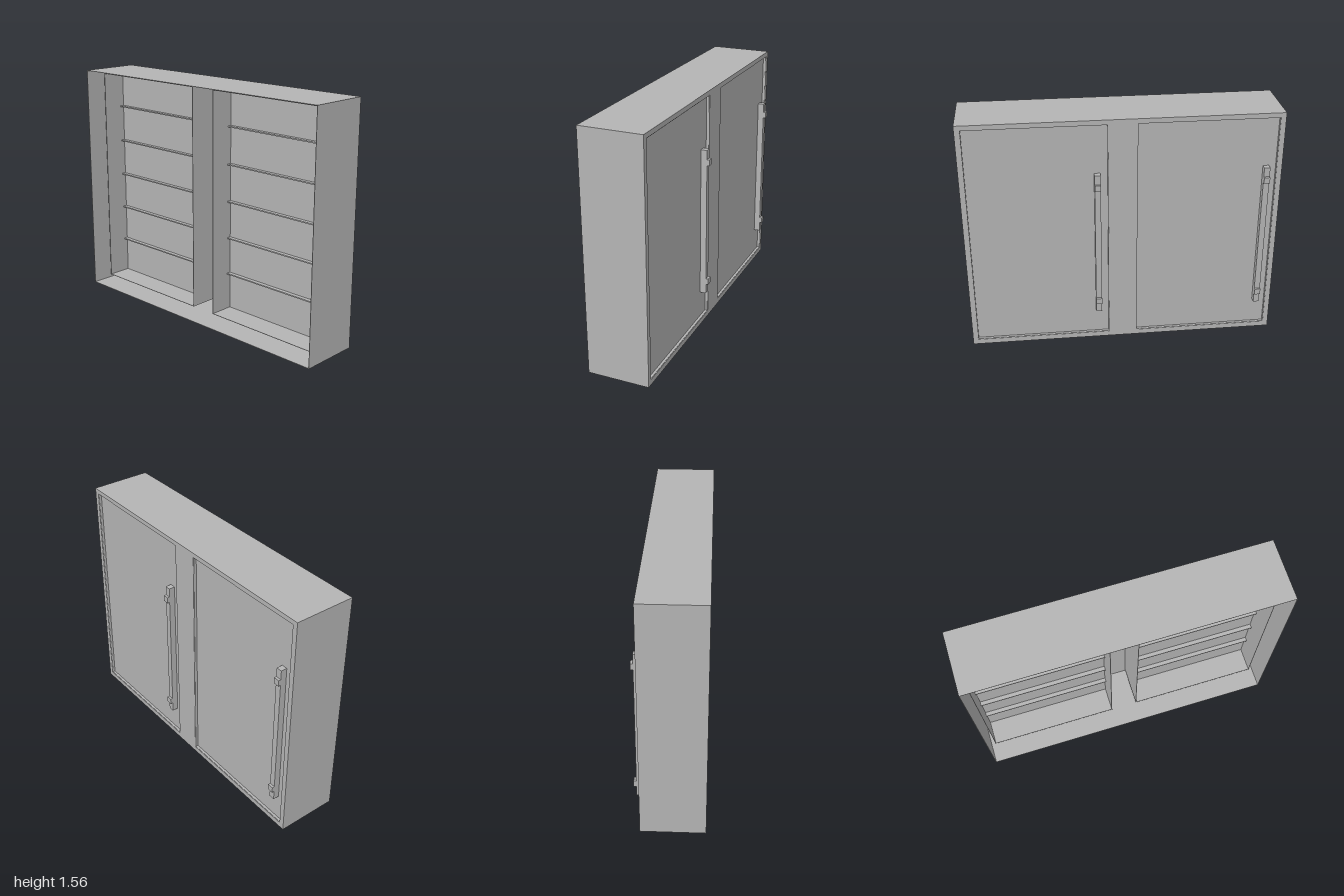
import * as THREE from 'three';

export function createModel() {
  const model = new THREE.Group();
  model.name = 'twoDoorCabinet';
  const grey = new THREE.MeshStandardMaterial({ color: 0xb4b4b4, side: THREE.DoubleSide });
  grey.name = 'plain grey';

  // Box given by its limits on each axis
  const box = (parent, name, [x0, x1], [y0, y1], [z0, z1]) => {
    const mesh = new THREE.Mesh(new THREE.BoxGeometry(x1 - x0, y1 - y0, z1 - z0), grey);
    mesh.position.set((x0 + x1) / 2, (y0 + y1) / 2, (z0 + z1) / 2);
    mesh.name = name;
    parent.add(mesh);
  };

  // Four thin sheets forming a sleeve open at both x ends
  const sleeve = (parent, name, x, [y0, y1], [z0, z1]) => {
    const t = 0.003;
    box(parent, name + 'Bottom', x, [y0, y0 + t], [z0, z1]);
    box(parent, name + 'Top', x, [y1 - t, y1], [z0, z1]);
    box(parent, name + 'RightWall', x, [y0 + t, y1 - t], [z0, z0 + t]);
    box(parent, name + 'LeftWall', x, [y0 + t, y1 - t], [z1 - t, z1]);
  };

  const height = 1.56, bottom = 0.035, top = 1.53;
  const bays = [
    { z: [0.09, 0.967], handle: 0.158 },
    { z: [-0.967, -0.09], handle: -0.902 },
  ];

  // Outer shell, open at the rear (-x)
  sleeve(model, 'shell', [-0.22, 0.177], [0, height], [-1, 1]);

  // Door frame with two openings; shape x runs along -z
  const outline = new THREE.Shape();
  outline.moveTo(-1, 0).lineTo(1, 0).lineTo(1, height).lineTo(-1, height).closePath();
  for (const { z: [z0, z1] } of bays) {
    const hole = new THREE.Path();
    hole.moveTo(-z1, bottom).lineTo(-z1, top).lineTo(-z0, top).lineTo(-z0, bottom).closePath();
    outline.holes.push(hole);
  }
  const frame = new THREE.Mesh(
    new THREE.ExtrudeGeometry(outline, { depth: 0.003, bevelEnabled: false }), grey);
  frame.rotation.y = Math.PI / 2;
  frame.position.x = 0.177;
  frame.name = 'doorFrame';
  model.add(frame);

  bays.forEach(({ z, handle }, i) => {
    const bay = new THREE.Group();
    bay.name = i ? 'rightBay' : 'leftBay';
    model.add(bay);

    // Inner lining and recessed door
    sleeve(bay, 'lining', [-0.095, 0.177], [bottom, top], z);
    const inner = [z[0] + 0.003, z[1] - 0.003];
    box(bay, 'door', [0.068, 0.16], [bottom + 0.003, top - 0.003], inner);

    // Five narrow ledges across the rear of the door
    for (let k = 1; k <= 5; k++) {
      const y = bottom + (k * (top - bottom)) / 6;
      box(bay, 'ledge', [0.04, 0.068], [y - 0.004, y + 0.004], inner);
    }

    // Long handle with two raised clamps
    const hz = [handle - 0.019, handle + 0.019];
    box(bay, 'handleBar', [0.16, 0.2], [0.215, 1.205], hz);
    for (const y of [0.302, 1.125]) box(bay, 'handleClamp', [0.2, 0.216], [y - 0.02, y + 0.02], hz);
  });

  return model;
}
